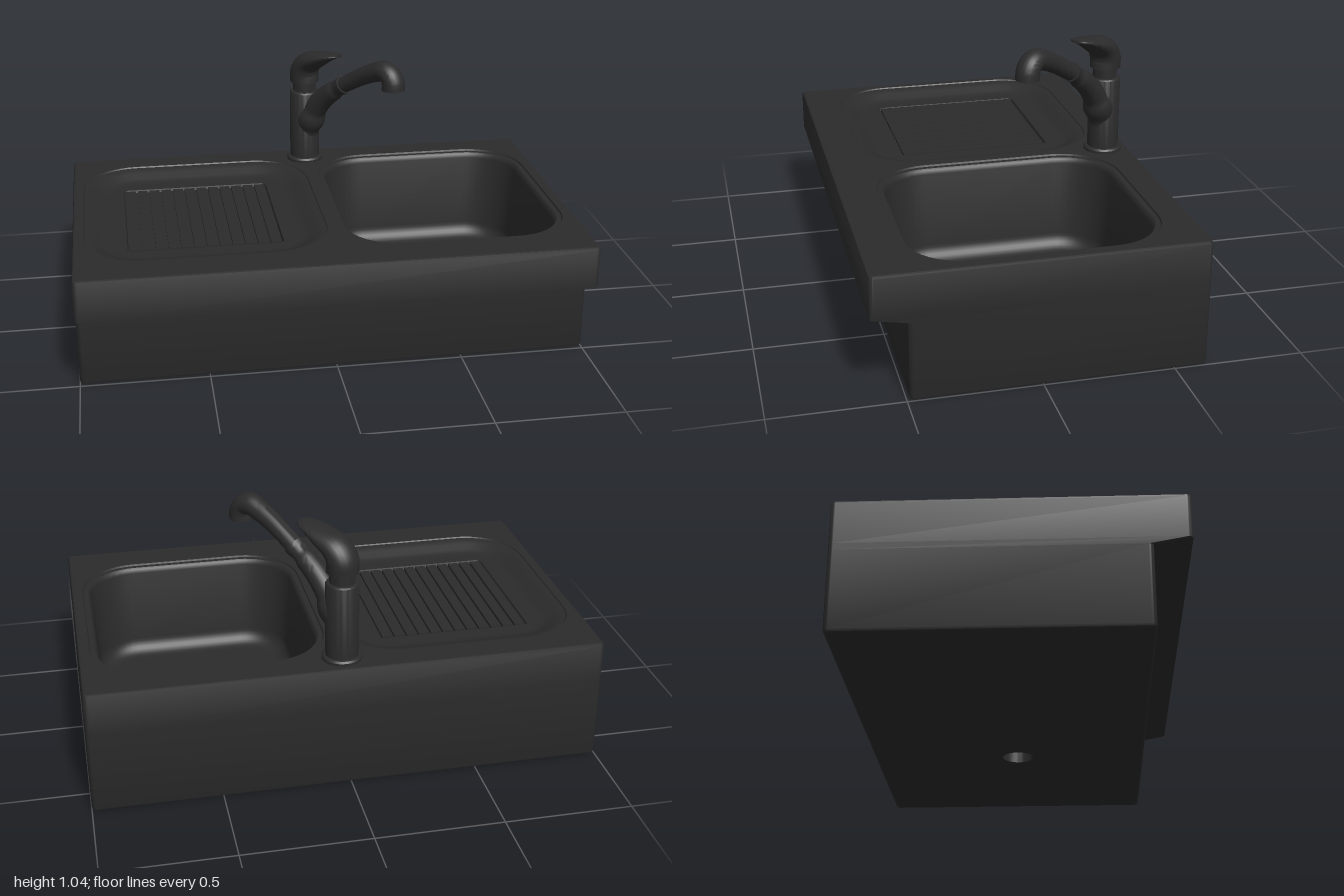
import * as THREE from 'three';
import { toCreasedNormals } from 'three/addons/utils/BufferGeometryUtils.js';

const material = new THREE.MeshStandardMaterial({ color: 0x2b2b2b });
const V = (x, y, z) => new THREE.Vector3(x, y, z);

// Rounded rectangle loop in the xz plane at height y, shrunk by inset
function loop([x0, x1, z0, z1, r], y, inset = 0, seg = 10) {
  const rad = Math.max(r - inset, 0.005), pts = [];
  const ax = x0 + inset + rad, bx = x1 - inset - rad;
  const az = z0 + inset + rad, bz = z1 - inset - rad;
  [[bx, bz], [ax, bz], [ax, az], [bx, az]].forEach(([cx, cz], q) => {
    for (let i = 0; i <= seg; i++) {
      const a = (q + i / seg) * Math.PI / 2;
      pts.push(V(cx + rad * Math.cos(a), y, cz + rad * Math.sin(a)));
    }
  });
  return pts;
}

// Skin joining successive loops, optionally capped at both ends
function loft(loops, crease = 0.6, caps = false) {
  const n = loops[0].length, pos = [], idx = [];
  if (caps) {
    const centre = l => {
      const c = l.reduce((s, p) => s.add(p), V(0, 0, 0)).divideScalar(n);
      return l.map(() => c.clone());
    };
    loops = [centre(loops[0]), ...loops, centre(loops.at(-1))];
  }
  loops.forEach(l => l.forEach(p => pos.push(p.x, p.y, p.z)));
  for (let i = 0; i < loops.length - 1; i++) {
    for (let j = 0; j < n; j++) {
      const a = i * n + j, b = i * n + (j + 1) % n;
      idx.push(a, a + n, b, b, a + n, b + n);
    }
  }
  const g = new THREE.BufferGeometry();
  g.setAttribute('position', new THREE.Float32BufferAttribute(pos, 3));
  g.setIndex(idx);
  return toCreasedNormals(g, crease);
}

// Flat horizontal face bounded by a loop, with holes
function plate(outer, holes = [], down = false) {
  const flat = l => l.map(p => new THREE.Vector2(p.x, down ? p.z : -p.z));
  const shape = new THREE.Shape(flat(outer));
  holes.forEach(h => shape.holes.push(new THREE.Path(flat(h))));
  const g = new THREE.ShapeGeometry(shape);
  g.rotateX(down ? Math.PI / 2 : -Math.PI / 2);
  return g.translate(0, outer[0].y, 0);
}

// Tapering tube in the x-y plane; rows are [x, y, half width, half thickness]
function sweep(rows, steps = 32, sides = 24) {
  const path = new THREE.CatmullRomCurve3(rows.map(r => V(r[0], r[1], 0)));
  const size = new THREE.CatmullRomCurve3(rows.map(r => V(r[2], r[3], 0)));
  const side = V(0, 0, 1), rings = [];
  for (let i = 0; i <= steps; i++) {
    const t = i / steps, c = path.getPoint(t), s = size.getPoint(t);
    const n = side.clone().cross(path.getTangent(t));
    rings.push(Array.from({ length: sides }, (_, j) => {
      const a = j / sides * Math.PI * 2;
      return c.clone().addScaledVector(side, s.x * Math.cos(a)).addScaledVector(n, s.y * Math.sin(a));
    }));
  }
  return loft(rings, 0.9, true);
}

function add(parent, name, geometry) {
  const mesh = new THREE.Mesh(geometry, material);
  mesh.name = name;
  parent.add(mesh);
  return mesh;
}

function createFaucet() {
  const faucet = new THREE.Group();
  faucet.name = 'faucet';

  // Flange, column and narrower neck
  const column = [[0, 0.5], [0.078, 0.5], [0.078, 0.51], [0.072, 0.517], [0.064, 0.518],
    [0.064, 0.81], [0.06, 0.816], [0.049, 0.817], [0.049, 0.87], [0, 0.87]];
  add(faucet, 'column', toCreasedNormals(
    new THREE.LatheGeometry(column.map(p => new THREE.Vector2(...p)), 32), 0.6));

  // Curved arm growing out of the column and ending in a collar
  add(faucet, 'spoutArm', sweep([
    [0.008, 0.56, 0.046, 0.046], [0.022, 0.65, 0.05, 0.05], [0.062, 0.738, 0.05, 0.05],
    [0.125, 0.81, 0.045, 0.045], [0.185, 0.856, 0.042, 0.042], [0.24, 0.893, 0.042, 0.042]]));

  // Pull-out spray with a head turned downwards
  add(faucet, 'sprayHead', sweep([
    [0.21, 0.874, 0.036, 0.035], [0.29, 0.922, 0.036, 0.036], [0.36, 0.96, 0.037, 0.038],
    [0.42, 0.986, 0.041, 0.041], [0.468, 0.999, 0.046, 0.044], [0.502, 0.985, 0.048, 0.043],
    [0.515, 0.957, 0.048, 0.047], [0.516, 0.93, 0.048, 0.048]], 40));

  // Lever handle sweeping forward to a thin rounded tip
  add(faucet, 'lever', sweep([
    [0, 0.858, 0.062, 0.062], [0, 0.9, 0.065, 0.059], [0.025, 0.942, 0.066, 0.05],
    [0.09, 0.974, 0.064, 0.034], [0.145, 0.994, 0.055, 0.02], [0.185, 1.005, 0.042, 0.011],
    [0.205, 1.008, 0.022, 0.006]]));

  faucet.position.set(0.02, 0, -0.52);
  faucet.rotation.y = -Math.atan2(0.8, 0.6);
  return faucet;
}

export function createModel() {
  const sink = new THREE.Group();
  sink.name = 'sink';

  const deckRect = [-1, 1, -0.625, 0.625, 0.018];
  const baseRect = [-1, 1, -0.625, 0.49, 0.018];
  const bowlRect = [0.045, 0.955, -0.51, 0.475, 0.23];
  const trayRect = [-0.957, -0.003, -0.51, 0.475, 0.23];
  const gridRect = [-0.79, -0.18, -0.335, 0.3, 0.02];
  const drainRect = [0.237, 0.363, -0.093, 0.033, 0.063];

  // Outer walls with rounded edges and the overhanging front lip
  const top = loop(deckRect, 0.5, 0.01), bottom = loop(baseRect, 0, 0.012);
  add(sink, 'outerWalls', loft([
    bottom, loop(baseRect, 0.004, 0.004), loop(baseRect, 0.012), loop(baseRect, 0.308),
    loop(deckRect, 0.333), loop(deckRect, 0.49), loop(deckRect, 0.497, 0.003), top]));
  add(sink, 'deck', plate(top, [loop(bowlRect, 0.5), loop(trayRect, 0.5)]));
  add(sink, 'underside', plate(bottom, [loop(drainRect, 0)], true));

  // Deep bowl: stepped rim, steep walls and a rounded foot; rows are [inset, height]
  const floorY = 0.1, foot = 0.065;
  const bowl = [[0, 0.5], [0.003, 0.493], [0.022, 0.493], [0.029, 0.487], [0.034, 0.472], [0.05, floorY + foot]];
  for (let i = 1; i <= 8; i++) {
    const a = i / 8 * Math.PI / 2;
    bowl.push([0.05 + foot * (1 - Math.cos(a)), floorY + foot * (1 - Math.sin(a))]);
  }
  const bowlLoops = bowl.map(([inset, y]) => loop(bowlRect, y, inset));
  add(sink, 'bowl', loft(bowlLoops));
  add(sink, 'bowlFloor', plate(bowlLoops.at(-1), [loop(drainRect, floorY)]));
  add(sink, 'drain', loft([loop(drainRect, floorY), loop(drainRect, 0)]));

  // Shallow draining tray with a sunken grid
  const tray = [[0, 0.5], [0.003, 0.495], [0.02, 0.493], [0.045, 0.484], [0.07, 0.469], [0.09, 0.462], [0.11, 0.46]];
  const trayLoops = tray.map(([inset, y]) => loop(trayRect, y, inset));
  add(sink, 'drainingTray', loft(trayLoops));
  add(sink, 'trayFloor', plate(trayLoops.at(-1), [loop(gridRect, 0.46)]));
  const gridFloor = loop(gridRect, 0.448, 0.004);
  add(sink, 'gridRecess', loft([loop(gridRect, 0.46), gridFloor]));
  add(sink, 'gridFloor', plate(gridFloor));
  const ribs = new THREE.Group();
  ribs.name = 'drainingRibs';
  for (let i = 0; i < 12; i++) {
    const rib = add(ribs, 'rib', new THREE.BoxGeometry(0.042, 0.012, 0.61));
    rib.position.set(-0.485 + (i - 5.5) * 0.05, 0.454, -0.0175);
  }
  sink.add(ribs);

  sink.add(createFaucet());
  return sink;
}
